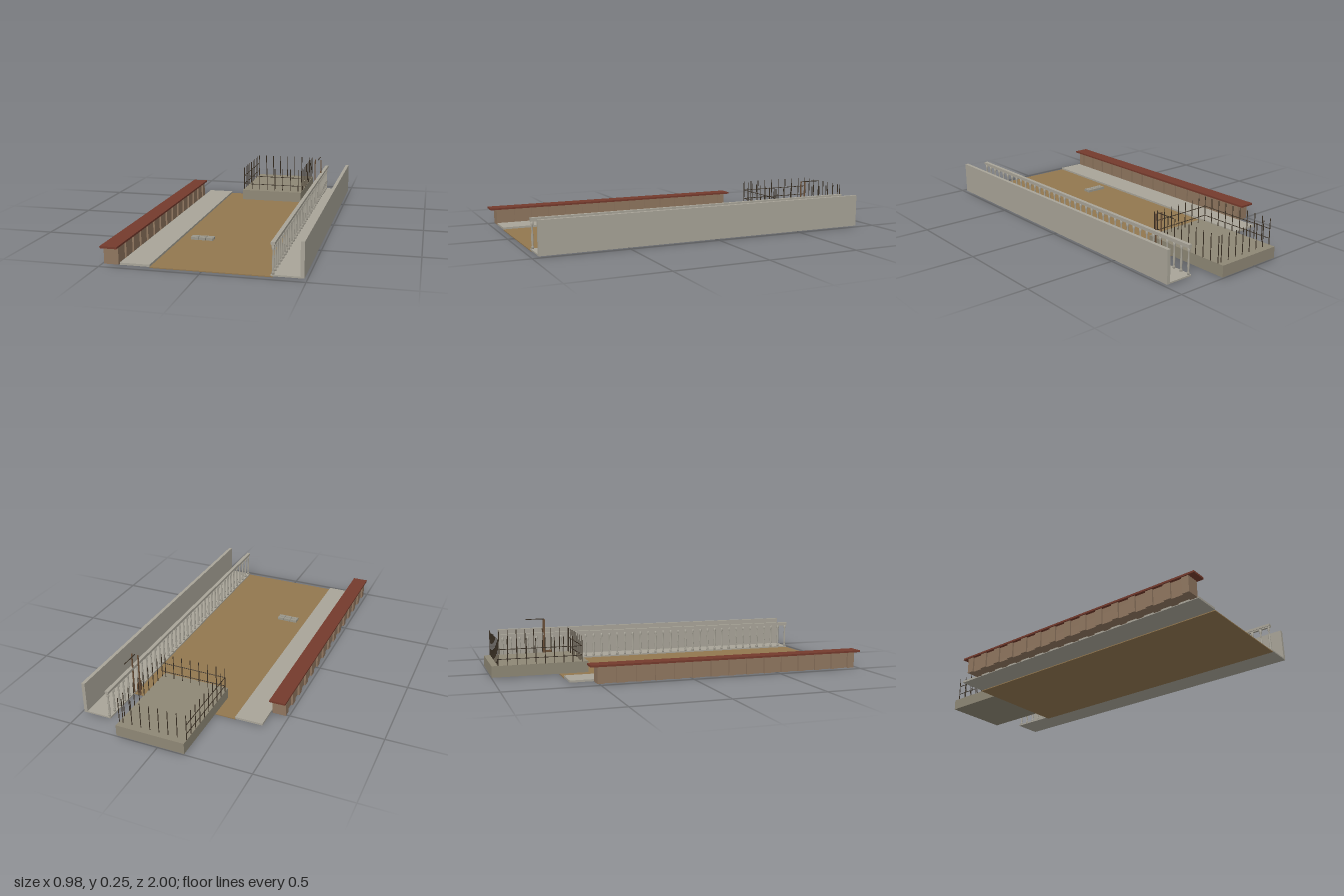
import * as THREE from 'three';

export function createModel() {
  const model = new THREE.Group();
  const mat = (color) => new THREE.MeshStandardMaterial({ color });
  const concrete = mat(0xa8a498), slab = mat(0x8e8775), earth = mat(0x92774f), brick = mat(0x8f765f);
  const tile = mat(0x743a2c), steel = mat(0x3a3024), wood = mat(0x6b5038), block = mat(0x99968a);

  // box given by its min and max on each axis
  function box(name, material, x0, x1, y0, y1, z0, z1, parent = model) {
    const mesh = new THREE.Mesh(new THREE.BoxGeometry(x1 - x0, y1 - y0, z1 - z0), material);
    mesh.position.set((x0 + x1) / 2, (y0 + y1) / 2, (z0 + z1) / 2);
    mesh.name = name;
    parent.add(mesh);
    return mesh;
  }
  // thin round bar between two points
  function bar(name, material, a, b, r, parent) {
    const from = new THREE.Vector3(...a), to = new THREE.Vector3(...b);
    const dir = to.clone().sub(from);
    const mesh = new THREE.Mesh(new THREE.CylinderGeometry(r, r, dir.length(), 8), material);
    mesh.position.copy(from).add(to).multiplyScalar(0.5);
    mesh.quaternion.setFromUnitVectors(new THREE.Vector3(0, 1, 0), dir.normalize());
    mesh.name = name;
    parent.add(mesh);
  }
  function group(name) {
    const g = new THREE.Group();
    g.name = name;
    model.add(g);
    return g;
  }

  // ground, pavement and channel
  box('ground', earth, -0.255, 0.34, 0, 0.005, -0.64, 0.965);
  box('pavement', concrete, -0.405, -0.255, 0.005, 0.016, -0.64, 0.965);
  box('walkwayFloor', concrete, 0.33, 0.468, 0.005, 0.013, -0.89, 0.965);
  box('parapetWall', concrete, 0.468, 0.487, 0.005, 0.18, -0.89, 0.965);

  // boundary wall with piers and a tiled coping
  const wall = group('boundaryWall');
  box('wallPanel', brick, -0.475, -0.42, 0.005, 0.092, -0.51, 0.96, wall);
  const piers = 15;
  for (let i = 0; i < piers; i++) {
    const z = -0.495 + (i * 1.44) / (piers - 1);
    box('pier', brick, -0.485, -0.411, 0.005, 0.092, z - 0.02, z + 0.02, wall);
  }
  box('coping', tile, -0.491, -0.405, 0.092, 0.102, -0.55, 1, wall);

  // balustrade with turned balusters
  const balustrade = group('balustrade');
  box('handrail', concrete, 0.33, 0.35, 0.155, 0.168, -0.89, 0.965, balustrade);
  box('underRail', concrete, 0.334, 0.346, 0.148, 0.155, -0.89, 0.965, balustrade);
  const profile = [[0, 0], [0.007, 0], [0.007, 0.012], [0.004, 0.018], [0.0065, 0.045], [0.0045, 0.085],
    [0.004, 0.115], [0.007, 0.12], [0.007, 0.137], [0, 0.137]].map((p) => new THREE.Vector2(...p));
  const balusterGeometry = new THREE.LatheGeometry(profile, 10);
  for (let i = 0; i < 38; i++) {
    const baluster = new THREE.Mesh(balusterGeometry, concrete);
    baluster.name = 'baluster';
    baluster.position.set(0.34, 0.012, -0.88 + (i * 1.835) / 37);
    balustrade.add(baluster);
  }

  // raised platform with upright rods
  const platform = group('platform');
  box('platformSlab', slab, -0.145, 0.23, 0.005, 0.066, -1, -0.48, platform);
  const rod = (x, z) => bar('rod', steel, [x, 0.066, z], [x, 0.206, z], 0.0022, platform);
  for (let i = 0; i < 8; i++) {
    rod(-0.143 + i * 0.05, -0.515);
    rod(-0.143 + i * 0.05, -0.965);
  }
  for (const x of [-0.143, 0.228]) {
    for (let i = x < 0 ? 1 : 0; i < (x < 0 ? 9 : 10); i++) rod(x, -0.515 - i * 0.05);
  }
  for (const y of [0.1, 0.152]) {
    bar('frontRail', steel, [-0.145, y, -0.515], [0.23, y, -0.515], 0.002, platform);
    bar('sideRail', steel, [-0.143, y, -0.515], [-0.143, y, -0.965], 0.002, platform);
  }

  // post frame with a projecting arm and a hanging weight
  const hoist = group('hoist');
  for (const x of [0.296, 0.333]) box('hoistPost', wood, x - 0.003, x + 0.003, 0.005, 0.252, -0.643, -0.637, hoist);
  bar('hoistArm', steel, [0.315, 0.252, -0.745], [0.315, 0.252, -0.637], 0.0025, hoist);
  box('hoistWeight', wood, 0.312, 0.318, 0.01, 0.066, -0.635, -0.595, hoist);

  // loose paving blocks in two rows
  const blocks = group('pavingBlocks');
  for (let i = 0; i < 3; i++) {
    for (let j = 0; j < 2; j++) {
      const x = -0.2 + i * 0.041, z = 0.435 + j * 0.024;
      box('pavingBlock', block, x, x + 0.038, 0.005, 0.019, z, z + 0.02, blocks);
    }
  }
  return model;
}
